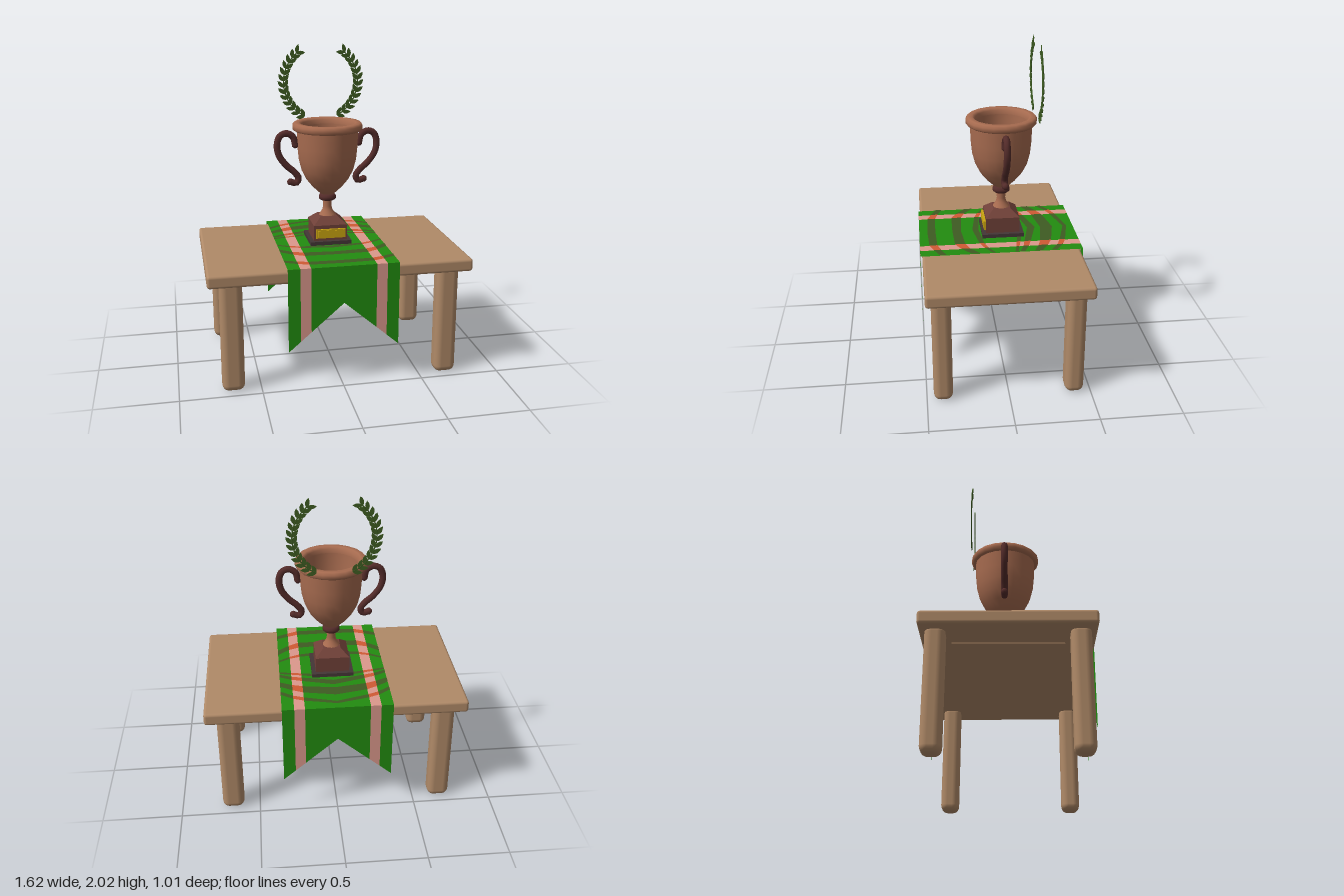
import * as THREE from 'three';
import { mergeGeometries } from 'three/addons/utils/BufferGeometryUtils.js';
import { RoundedBoxGeometry } from 'three/addons/geometries/RoundedBoxGeometry.js';

const mat = (name, color, side = THREE.FrontSide) => {
  const m = new THREE.MeshStandardMaterial({ color, side });
  m.name = name;
  return m;
};

// Flat sheet from two rows of points of equal length
function sheet(rowA, rowB) {
  const pos = [], index = [];
  rowA.forEach((a, i) => {
    pos.push(...a, ...rowB[i]);
    const k = 2 * i;
    if (i > 0) index.push(k - 2, k - 1, k, k, k - 1, k + 1);
  });
  const g = new THREE.BufferGeometry();
  g.setAttribute('position', new THREE.Float32BufferAttribute(pos, 3));
  g.setIndex(index);
  const flat = g.toNonIndexed();
  flat.computeVertexNormals();
  return flat;
}

export function createModel() {
  const model = new THREE.Group();
  const wood = mat('wood', 0xb08a68);
  const copper = mat('copper', 0xa86c50);
  const handleBrown = mat('dark handle brown', 0x542c2a);
  const baseBrown = mat('base brown', 0x6f4038);
  const plinthDark = mat('plinth dark', 0x443636);
  const gold = mat('gold', 0xcaa510);
  const green = mat('cloth green', 0x228c10, THREE.DoubleSide);
  const pink = mat('cloth pink', 0xdc988c, THREE.DoubleSide);
  const olive = mat('chevron olive', 0x3e5c22, THREE.DoubleSide);
  const red = mat('chevron red', 0xd05a34, THREE.DoubleSide);

  const add = (name, geo, material, x = 0, y = 0, z = 0, parent = model) => {
    const m = new THREE.Mesh(geo, material);
    m.name = name;
    m.position.set(x, y, z);
    parent.add(m);
    return m;
  };

  // Table
  add('tableTop', new RoundedBoxGeometry(1.62, 0.08, 0.985, 2, 0.018), wood, 0, 0.728, 0);
  add('underPanel', new THREE.BoxGeometry(1.1, 0.008, 0.64), wood, 0, 0.686, 0);
  for (const x of [-0.67, 0.67]) for (const z of [-0.4, 0.4])
    add('tableLeg', new RoundedBoxGeometry(0.138, 0.72, 0.116, 3, 0.042), wood, x, 0.36, z);

  // Table runner: lengthwise columns with swallowtail ends
  const edges = [-0.34, -0.265, -0.2, 0, 0.2, 0.265, 0.34];
  const isPink = i => i === 1 || i === 4;
  const runnerY = 0.783, runnerZ = 0.503;
  const tailY = x => 0.55 - Math.abs(x) / 0.34 * 0.295;
  const column = x => [
    [x, tailY(x), -runnerZ], [x, runnerY, -runnerZ],
    [x, runnerY, runnerZ], [x, tailY(x), runnerZ],
  ];
  const cloth = { plain: [], stripe: [] };
  for (let i = 0; i < 6; i++)
    cloth[isPink(i) ? 'stripe' : 'plain'].push(sheet(column(edges[i]), column(edges[i + 1])));
  add('runnerCloth', mergeGeometries(cloth.plain), green);
  add('runnerStripes', mergeGeometries(cloth.stripe), pink);

  // Chevron bands: back and front z at the middle, stripe inner, stripe outer and border
  const bands = [
    [[-0.46, -0.435], [-0.415, -0.38], [-0.39, -0.355], [-0.34, -0.305]],
    [[-0.365, -0.285], [-0.325, -0.255], [-0.295, -0.235], [-0.25, -0.2]],
    [[-0.25, -0.2], [-0.195, -0.155], [-0.175, -0.14], [-0.14, -0.11]],
    [[-0.17, -0.14], [-0.13, -0.105], [-0.115, -0.095], [-0.1, -0.08]],
    [[0.12, 0.16], [0.1, 0.13], [0.08, 0.105], [0.04, 0.06]],
    [[0.235, 0.29], [0.22, 0.285], [0.195, 0.25], [0.135, 0.19]],
    [[0.4, 0.452], [0.395, 0.445], [0.375, 0.42], [0.345, 0.385]],
  ];
  const chev = { plain: [], stripe: [] };
  for (const band of bands) {
    const at = i => band[Math.abs(i - 3)].map(z => [edges[i], runnerY + 0.003, z]);
    for (let i = 0; i < 6; i++)
      chev[isPink(i) ? 'stripe' : 'plain'].push(sheet(at(i), at(i + 1)));
  }
  add('chevronBands', mergeGeometries(chev.plain), olive);
  add('chevronCrossings', mergeGeometries(chev.stripe), red);

  // Trophy
  const trophy = new THREE.Group();
  trophy.name = 'trophy';
  trophy.position.z = -0.028;
  model.add(trophy);
  const lathe = (name, pts, material) => add(name,
    new THREE.LatheGeometry(pts.map(p => new THREE.Vector2(...p)), 20), material, 0, 0, 0, trophy);

  add('plinth', new THREE.BoxGeometry(0.265, 0.024, 0.265), plinthDark, 0, 0.797, 0, trophy);
  add('baseBlock', new THREE.BoxGeometry(0.214, 0.1, 0.214), baseBrown, 0, 0.858, 0, trophy);
  const taper = new THREE.CylinderGeometry(0.055 * Math.SQRT2, 0.107 * Math.SQRT2, 0.045, 4, 1)
    .rotateY(Math.PI / 4).toNonIndexed();
  taper.computeVertexNormals();
  add('baseTaper', taper, baseBrown, 0, 0.93, 0, trophy);
  add('plaque', new THREE.BoxGeometry(0.19, 0.058, 0.014), gold, 0, 0.856, 0.113, trophy);
  add('plaqueFace', new THREE.BoxGeometry(0.165, 0.042, 0.004), gold, 0, 0.856, 0.121, trophy);

  lathe('stem', [[0.055, 0.95], [0.048, 0.962], [0.033, 0.985], [0.027, 1.01], [0.03, 1.06]], copper);
  lathe('collar', [[0.02, 1.05], [0.045, 1.052], [0.055, 1.062], [0.055, 1.078], [0.045, 1.092],
    [0.02, 1.094]], handleBrown);
  lathe('cupBody', [[0.03, 1.085], [0.052, 1.1], [0.095, 1.14], [0.135, 1.19], [0.165, 1.25],
    [0.183, 1.32], [0.191, 1.4], [0.195, 1.515]], copper);
  lathe('cupRim', [[0.19, 1.502], [0.21, 1.504], [0.222, 1.516], [0.222, 1.538], [0.21, 1.553],
    [0.18, 1.553], [0.165, 1.54], [0.163, 1.51]], copper);
  lathe('cupInside', [[0.163, 1.515], [0.16, 1.4], [0.148, 1.31], [0.12, 1.23], [0.075, 1.175]], copper);
  add('cupFloor', new THREE.CircleGeometry(0.076, 20).rotateX(-Math.PI / 2), copper, 0, 1.176, 0, trophy);

  // Scrolled handles
  const scroll = [[0.205, 1.415], [0.218, 1.465], [0.258, 1.49], [0.3, 1.475], [0.32, 1.42],
    [0.308, 1.35], [0.262, 1.285], [0.212, 1.24], [0.186, 1.2], [0.2, 1.17], [0.238, 1.178]];
  for (const s of [-1, 1]) {
    const pts = scroll.map(([x, y]) => new THREE.Vector3(s * x, y, 0));
    const curve = new THREE.CatmullRomCurve3(pts);
    add('handle', new THREE.TubeGeometry(curve, 40, 0.021, 8), handleBrown, 0, 0, 0, trophy);
    for (const p of [pts[0], pts[pts.length - 1]])
      add('handleTip', new THREE.SphereGeometry(0.022, 8, 6), handleBrown, p.x, p.y, 0, trophy);
  }

  // Laurel wreath: two arcs of paired leaves standing behind the cup
  const wreath = new THREE.Group();
  wreath.name = 'wreath';
  wreath.position.set(0, 1.778, -0.245);
  model.add(wreath);
  const leafShape = new THREE.Shape();
  leafShape.moveTo(0, 0);
  leafShape.quadraticCurveTo(0.026, 0.026, 0, 0.058);
  leafShape.quadraticCurveTo(-0.026, 0.026, 0, 0);
  const leafGeo = new THREE.ExtrudeGeometry(leafShape, { depth: 0.004, bevelEnabled: false, curveSegments: 4 });
  const R = 0.243, start = -1.12, end = 0.86, pairs = 13;
  for (const s of [-1, 1]) {
    const leaves = [];
    for (let i = 0; i < pairs; i++) {
      const a = start + (end - start) * i / (pairs - 1);
      for (const tilt of [-0.62, 0.62]) {
        const g = leafGeo.clone().rotateZ(a + tilt);
        g.translate(R * Math.cos(a), R * Math.sin(a), -0.002);
        leaves.push(s > 0 ? g : g.rotateY(Math.PI));
      }
    }
    add('laurelLeaves', mergeGeometries(leaves), olive, 0, 0, 0, wreath);
    const arc = new THREE.TorusGeometry(R, 0.004, 5, 30, end - start).rotateZ(start);
    add('laurelStem', s > 0 ? arc : arc.rotateY(Math.PI), olive, 0, 0, 0, wreath);
  }

  return model;
}
